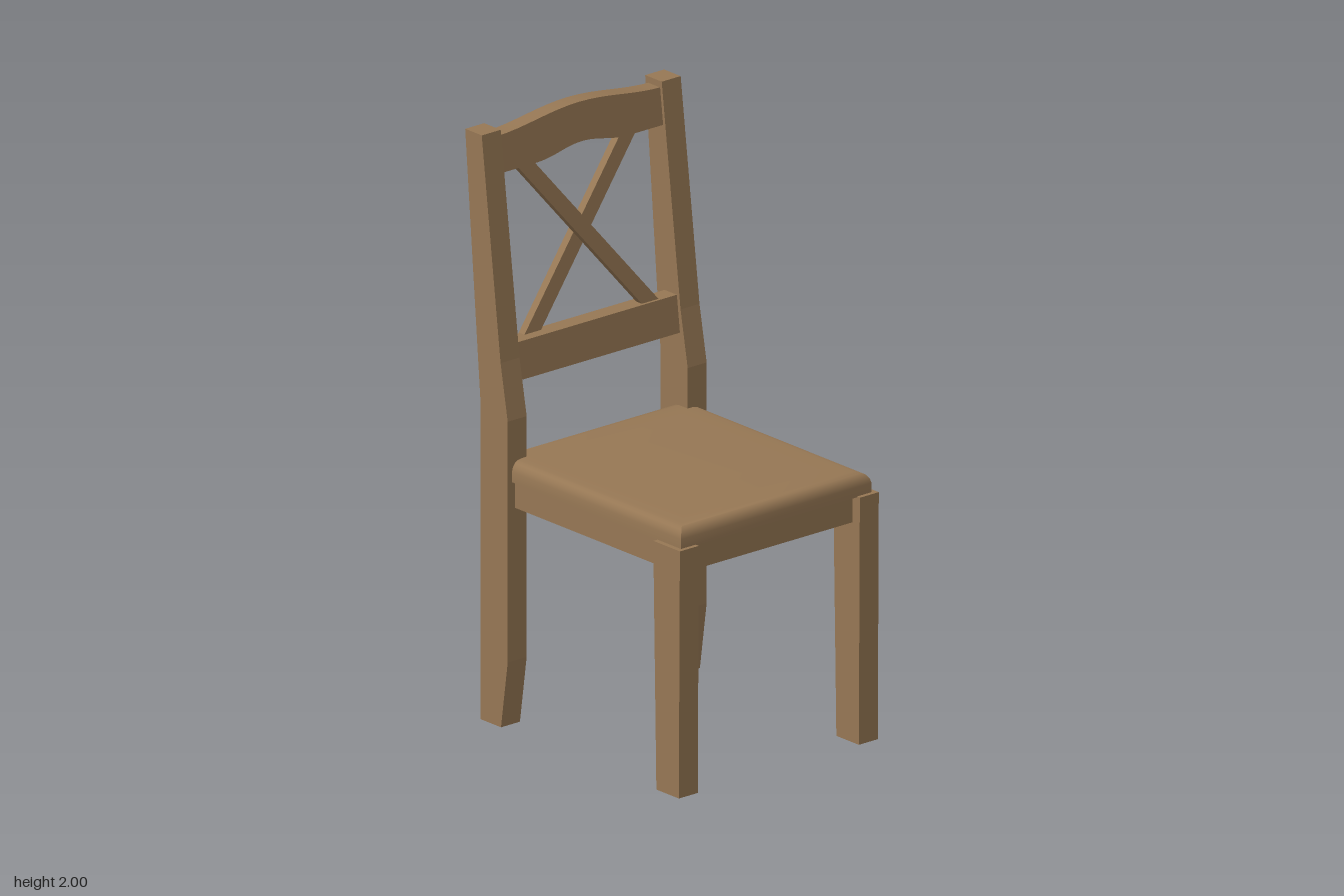
import * as THREE from 'three';
import { toCreasedNormals } from 'three/addons/utils/BufferGeometryUtils.js';

const wood = new THREE.MeshStandardMaterial({ color: 0x967754 });
wood.name = 'oak wood';

const polygon = (pts) => new THREE.Shape(pts.map(([x, y]) => new THREE.Vector2(x, y)));

// Side profile given as [z, y], extruded across x from x0 with the given width
function sideExtrude(profile, x0, width) {
  const shape = polygon(profile.map(([z, y]) => [-z, y]));
  const geo = new THREE.ExtrudeGeometry(shape, { depth: width, bevelEnabled: false });
  return geo.rotateY(Math.PI / 2).translate(x0, 0, 0);
}

// Front outline given as [x, y]; its front face is set back by inset and leans with the backrest
function leaningPanel(outline, inset, depth) {
  const geo = new THREE.ExtrudeGeometry(polygon(outline), { depth, bevelEnabled: false });
  const p = geo.attributes.position;
  for (let i = 0; i < p.count; i++) {
    const lean = -0.37 - 0.12 * (p.getY(i) - 1.285);
    p.setZ(i, p.getZ(i) - depth - inset + lean);
  }
  geo.computeVertexNormals();
  return toCreasedNormals(geo, 0.5);
}

// Domed cushion with a rounded rim: stacked rectangular rings of [inset, y]
function cushionGeometry(halfX, zBack, zFront, rings) {
  const pos = [], index = [];
  for (const [d, y] of rings) {
    pos.push(-halfX + d, y, zFront - d, halfX - d, y, zFront - d,
      halfX - d, y, zBack + d, -halfX + d, y, zBack + d);
  }
  for (let r = 0; r < rings.length - 1; r++) {
    for (let k = 0; k < 4; k++) {
      const a = r * 4 + k, b = r * 4 + (k + 1) % 4;
      index.push(a, b, b + 4, a, b + 4, a + 4);
    }
  }
  const t = (rings.length - 1) * 4;
  index.push(t, t + 1, t + 2, t, t + 2, t + 3, 0, 2, 1, 0, 3, 2);
  const geo = new THREE.BufferGeometry();
  geo.setAttribute('position', new THREE.Float32BufferAttribute(pos, 3));
  geo.setIndex(index);
  return toCreasedNormals(geo, 0.6);
}

export function createModel() {
  const chair = new THREE.Group();
  chair.name = 'diningChair';
  const add = (name, geo) => {
    const mesh = new THREE.Mesh(geo, wood);
    mesh.name = name;
    chair.add(mesh);
  };

  // Legs; the rear ones run up into the raked back posts
  const frontLeg = [[0.52, 0], [0.525, 0.843], [0.395, 0.843], [0.41, 0]];
  const backPost = [[-0.35, 0], [-0.317, 0.23], [-0.317, 1.05], [-0.352, 1.24],
    [-0.444, 1.99], [-0.525, 1.99], [-0.45, 1.08], [-0.45, 0]];
  for (const [side, x0] of [['left', 0.34], ['right', -0.42]]) {
    add(side + 'FrontLeg', sideExtrude(frontLeg, x0, 0.08));
    add(side + 'BackPost', sideExtrude(backPost, x0, 0.08));
  }

  // Seat frame and cushion
  add('seatFrame', new THREE.BoxGeometry(0.78, 0.095, 0.9).translate(0, 0.7975, 0.04));
  add('seat', cushionGeometry(0.402, -0.4, 0.51, [[0, 0.84], [0, 0.875], [0.004, 0.89],
    [0.012, 0.902], [0.024, 0.909], [0.042, 0.912], [0.12, 0.914], [0.25, 0.919]]));

  // Lower back rail
  add('lowerRail', leaningPanel([[-0.35, 1.16], [0.35, 1.16], [0.35, 1.285], [-0.35, 1.285]], 0, 0.06));

  // Crest rail: bowed top edge and a shallow arch below
  const crest = [[-0.35, 1.845], [-0.19, 1.845]];
  for (let i = 1; i < 12; i++) {
    const x = -0.19 + 0.38 * i / 12;
    crest.push([x, 1.858 + 0.013 * Math.cos(Math.PI * x / 0.19)]);
  }
  crest.push([0.19, 1.845], [0.35, 1.845]);
  for (let i = 0; i <= 16; i++) {
    const x = 0.35 - 0.7 * i / 16;
    crest.push([x, 1.984 + 0.016 * Math.cos(Math.PI * x / 0.36)]);
  }
  add('crestRail', leaningPanel(crest, 0, 0.058));

  // Crossed slats, one in front of the other
  const slat = [[-0.275, 1.28], [-0.205, 1.28], [0.27, 1.85], [0.2, 1.85]];
  add('rearSlat', leaningPanel(slat, 0.038, 0.028));
  add('frontSlat', leaningPanel(slat.map(([x, y]) => [-x, y]), 0.01, 0.028));

  return chair;
}
